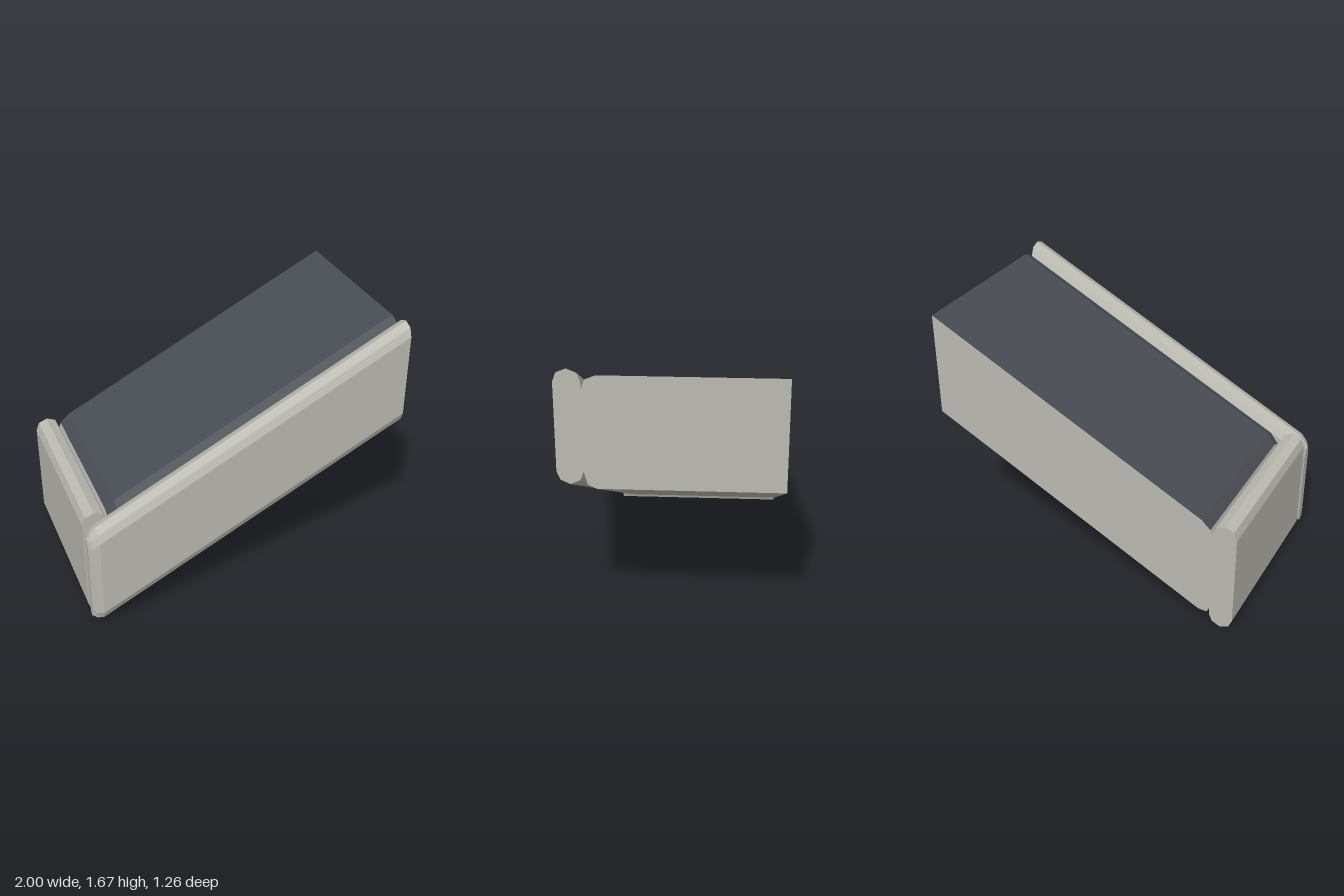
import * as THREE from 'three';

const SLOPE = 0.5;

// Skin a list of closed rings (counter-clockwise about the loft direction) and cap both ends.
// isDark(segment, side) chooses which of the two colours a face gets.
function loft(name, rings, mats, isDark = () => false) {
  const lists = [[], []];
  const tri = (k, ...pts) => pts.forEach((p) => lists[k].push(...p));
  const n = rings[0].length;
  for (let i = 0; i < rings.length - 1; i++) {
    for (let j = 0; j < n; j++) {
      const a = rings[i][j], b = rings[i][(j + 1) % n];
      const c = rings[i + 1][(j + 1) % n], d = rings[i + 1][j];
      const k = isDark(i, j) ? 1 : 0;
      tri(k, a, b, c);
      tri(k, a, c, d);
    }
  }
  const first = rings[0], last = rings[rings.length - 1];
  for (let j = 1; j < n - 1; j++) {
    tri(0, first[0], first[j + 1], first[j]);
    tri(0, last[0], last[j], last[j + 1]);
  }
  const group = new THREE.Group();
  group.name = name;
  lists.forEach((list, k) => {
    if (!list.length) return;
    const geo = new THREE.BufferGeometry();
    geo.setAttribute('position', new THREE.Float32BufferAttribute(list, 3));
    geo.computeVertexNormals();
    const mesh = new THREE.Mesh(geo, mats[k]);
    mesh.name = name + (k ? 'Surface' : 'Body');
    group.add(mesh);
  });
  return group;
}

// Bevelled curb outline as [offset, height], from the top centre around.
function curbProfile(bottom, top, half) {
  const side = [
    [half * 0.73, top - 0.022], [half, top - 0.075],
    [half, bottom + 0.075], [half * 0.73, bottom + 0.025],
  ];
  const mirrored = side.map(([s, y]) => [-s, y]).reverse();
  return [[0, top], ...side, [0, bottom], ...mirrored];
}

export function createModel() {
  const stone = new THREE.MeshStandardMaterial({ color: 0xbab9b1 });
  stone.name = 'paleStone';
  const asphalt = new THREE.MeshStandardMaterial({ color: 0x484d53 });
  asphalt.name = 'darkSlate';
  const mats = [stone, asphalt];
  const model = new THREE.Group();
  model.name = 'ramp';

  // Sloping deck block with a dark top; bevelled towards both curbs
  const deckStations = [[-0.855, 0.08, 0.06], [-0.835, 0.025, 0.02], [-0.78, 0, 0], [1, 0, 0]];
  const deckRings = deckStations.map(([x, inset, shrink]) => {
    const t = 1.135 - inset, b = 0.475 + inset;
    return [
      [-0.63, t], [0.4 - shrink, t], [0.46 - shrink, t - 0.025], [0.48 - shrink, t - 0.08],
      [0.48 - shrink, b + 0.1], [0.46 - shrink, b + 0.025], [0.41 - shrink, b], [-0.63, b],
    ].map(([z, y]) => [x, y + SLOPE * x, z]);
  });
  model.add(loft('deck', deckRings, mats, (i, j) => i > 0 && j < 3));

  // Sloping side curb with a rounded lower end
  const curbStations = [[-1, 0.04, 0.03], [-0.98, 0.02, 0.06], [-0.94, 0, 0.075], [1, 0, 0.075]];
  const curbRings = curbStations.map(([x, inset, half]) =>
    curbProfile(0.5 + inset, 1.17 - inset, half)
      .map(([s, y]) => [x, y + SLOPE * x, 0.555 + s]));
  model.add(loft('sideCurb', curbRings, mats));

  // Level curb across the low end
  const endRings = [-0.63, 0.48].map((z) =>
    curbProfile(0, 0.745, 0.075).map(([s, y]) => [-0.925 - s, y, z]));
  model.add(loft('endCurb', endRings, mats));

  return model;
}
